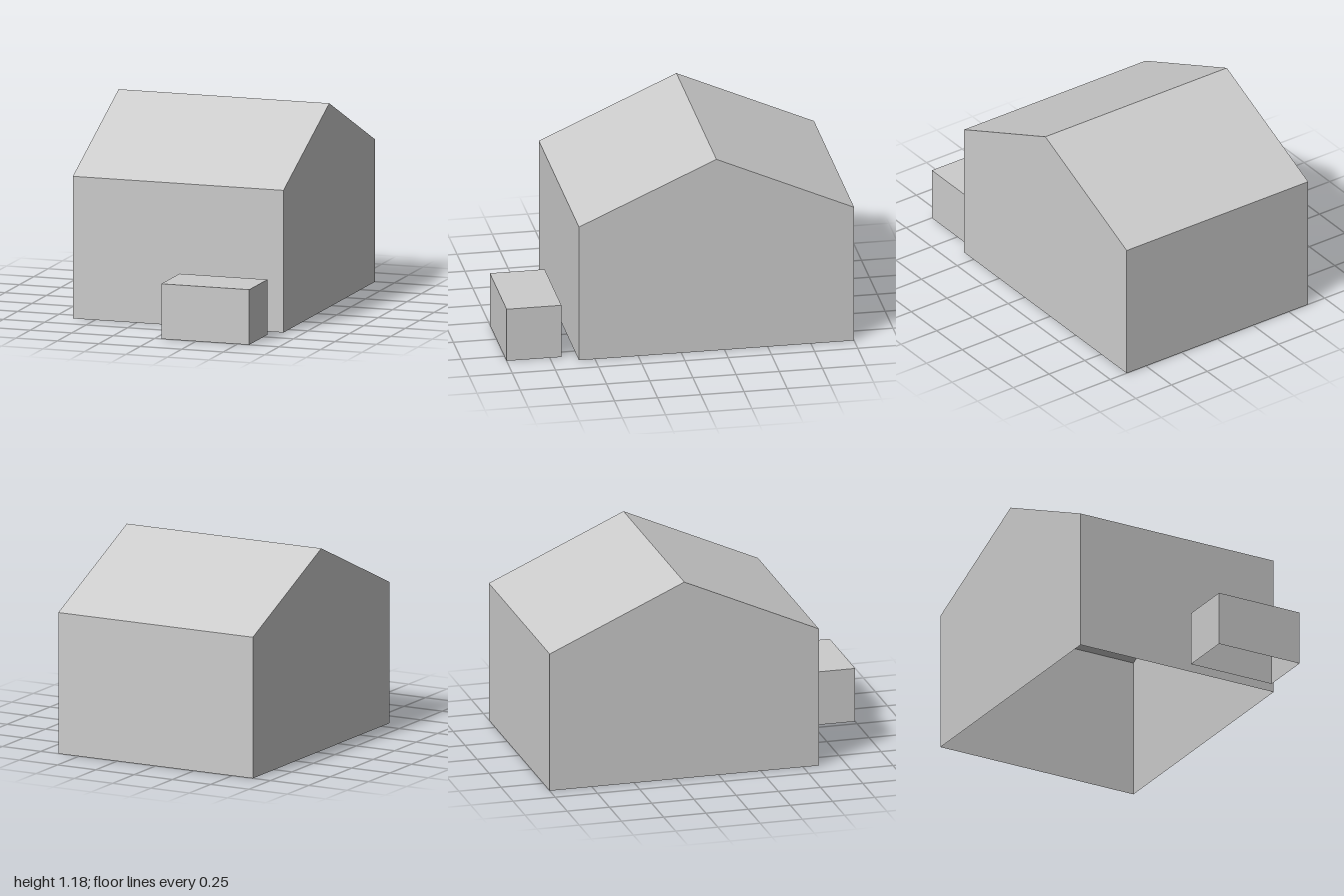
import * as THREE from 'three';

const plaster = new THREE.MeshStandardMaterial({ color: 0xcccccc, side: THREE.DoubleSide });
plaster.name = 'light grey';

// Hollow shell without a floor: a [z, y] outline, running from the front foot
// over the top to the back foot, swept from x0 to x1 and closed at both ends.
function openShell(name, outline, x0, x1) {
  const points = [];
  const add = (x, [z, y]) => points.push(x, y, z);

  // front wall, top faces and back wall
  for (let i = 0; i < outline.length - 1; i++) {
    const a = outline[i], b = outline[i + 1];
    add(x0, a); add(x1, a); add(x1, b);
    add(x0, a); add(x1, b); add(x0, b);
  }

  // end walls
  for (let i = 1; i < outline.length - 1; i++) {
    add(x1, outline[0]); add(x1, outline[i + 1]); add(x1, outline[i]);
    add(x0, outline[0]); add(x0, outline[i]); add(x0, outline[i + 1]);
  }

  const geometry = new THREE.BufferGeometry();
  geometry.setAttribute('position', new THREE.Float32BufferAttribute(points, 3));
  geometry.computeVertexNormals();
  const mesh = new THREE.Mesh(geometry, plaster);
  mesh.name = name;
  return mesh;
}

export function createModel() {
  const model = new THREE.Group();
  model.name = 'gabledBuilding';

  // main building with a gabled roof, ridge along x
  model.add(openShell('house',
    [[0.593, 0], [0.593, 0.825], [-0.203, 1.183], [-1, 0.825], [-1, 0]], -0.635, 0.635));

  // small flat-topped block standing in front
  model.add(openShell('frontBlock',
    [[1, 0], [1, 0.32], [0.683, 0.32], [0.683, 0]], 0.04, 0.57));

  return model;
}
